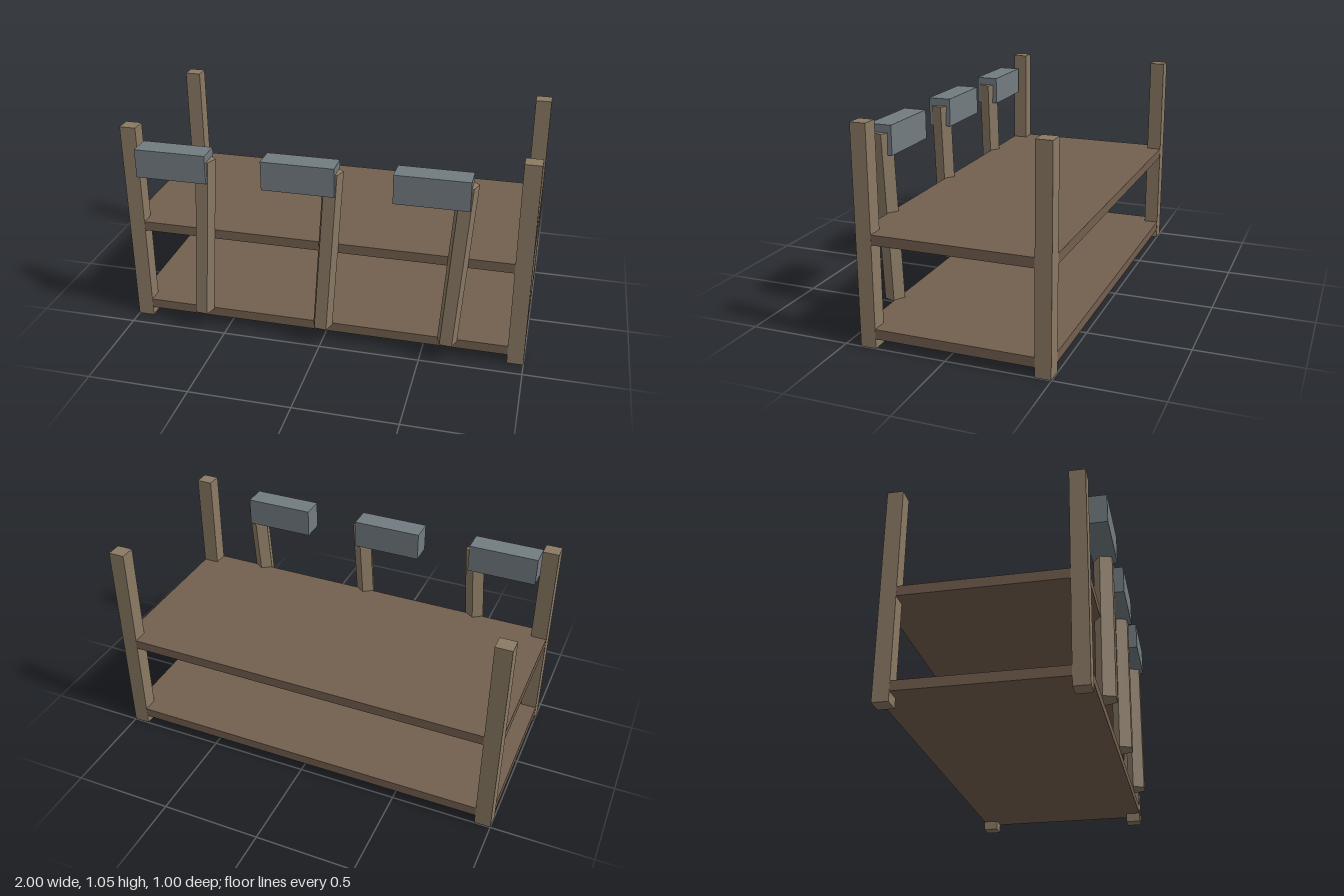
import * as THREE from 'three';

export function createModel() {
  const model = new THREE.Group();
  const mat = (color) => new THREE.MeshStandardMaterial({ color, flatShading: true });
  const postWood = mat(0x8b7a64);
  const shelfWood = mat(0x735f4f);
  const iron = mat(0x727c80);

  const add = (parent, name, geometry, material, x, y, z) => {
    const mesh = new THREE.Mesh(geometry, material);
    mesh.name = name;
    mesh.position.set(x, y, z);
    parent.add(mesh);
    return mesh;
  };

  // Four corner posts
  const post = new THREE.BoxGeometry(0.08, 1.05, 0.076);
  for (const x of [-0.96, 0.96]) {
    add(model, 'frontPost', post, postWood, x, 0.525, 0.383);
    add(model, 'backPost', post, postWood, x, 0.525, -0.46);
  }

  // Two boards, a hair inside the outer faces of the posts
  const board = new THREE.BoxGeometry(1.998, 0.048, 0.917);
  add(model, 'lowerShelf', board, shelfWood, 0, 0.071, -0.0385);
  add(model, 'upperShelf', board, shelfWood, 0, 0.524, -0.0385);

  // Three hammers leaning on the front: five-sided handles, block heads
  const handle = new THREE.CylinderGeometry(0.051, 0.051, 0.847, 5, 1, false, Math.PI);
  const head = new THREE.BoxGeometry(0.352, 0.143, 0.115);
  for (let i = -1; i <= 1; i++) {
    const hammer = new THREE.Group();
    hammer.name = 'hammer';
    hammer.position.x = i * 0.625;
    add(hammer, 'hammerHandle', handle, postWood, 0.03, 0.514, 0.44).rotation.z = -0.07;
    add(hammer, 'hammerHead', head, iron, -0.096, 0.902, 0.4425);
    model.add(hammer);
  }
  return model;
}
